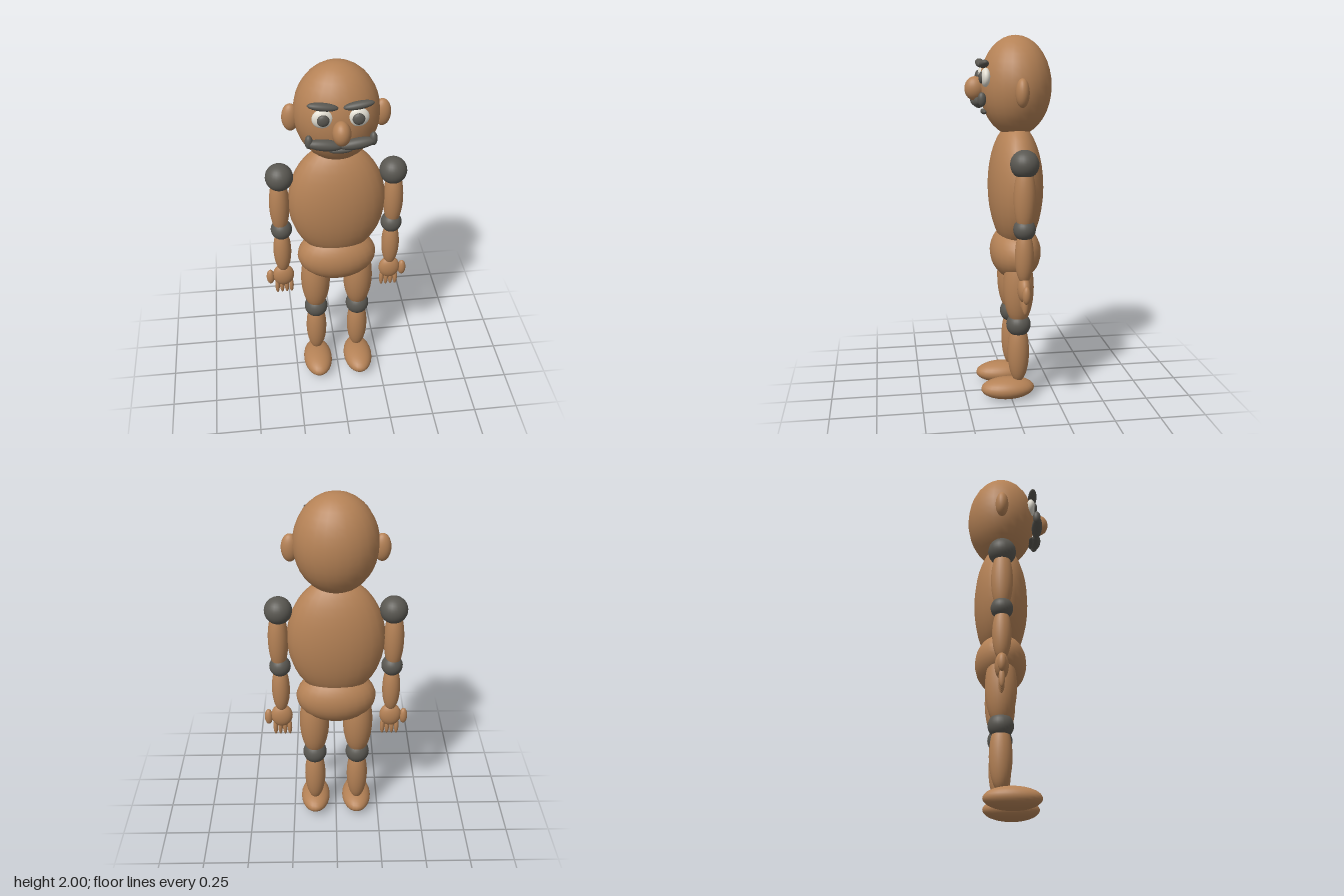
import * as THREE from 'three';

export function createModel() {
  const model = new THREE.Group();
  model.name = 'jointedFigure';

  const skin = new THREE.MeshStandardMaterial({ color: 0xb58256 });
  skin.name = 'tan skin';
  const dark = new THREE.MeshStandardMaterial({ color: 0x5a5852 });
  dark.name = 'dark grey';
  const white = new THREE.MeshStandardMaterial({ color: 0xe2ded2 });
  white.name = 'eye white';

  const ball = new THREE.SphereGeometry(1, 24, 18);
  const Z = -0.04; // depth of the body axis

  // one ellipsoid: centre, radii and a tilt about z
  function blob(name, mat, pos, radii, tilt = 0) {
    const mesh = new THREE.Mesh(ball, mat);
    mesh.name = name;
    mesh.position.set(...pos);
    mesh.scale.set(...radii);
    mesh.rotation.z = tilt;
    model.add(mesh);
  }

  // the same ellipsoid on both sides, given for the left (+x)
  function pair(name, mat, [x, y, z], radii, tilt = 0) {
    const label = name[0].toUpperCase() + name.slice(1);
    blob('left' + label, mat, [x, y, z], radii, tilt);
    blob('right' + label, mat, [-x, y, z], radii, -tilt);
  }

  // trunk and head
  blob('head', skin, [0, 1.733, Z], [0.222, 0.267, 0.193]);
  blob('torso', skin, [0, 1.19, Z], [0.265, 0.35, 0.149]);
  blob('pelvis', skin, [0, 0.825, Z], [0.222, 0.153, 0.14]);

  // face
  pair('ear', skin, [0.235, 1.71, Z], [0.045, 0.075, 0.036]);
  pair('eye', white, [0.088, 1.783, 0.13], [0.054, 0.05, 0.027]);
  pair('pupil', dark, [0.087, 1.783, 0.152], [0.031, 0.031, 0.016]);
  pair('brow', dark, [0.088, 1.852, 0.14], [0.077, 0.02, 0.025], 0.15);
  blob('nose', skin, [0, 1.722, 0.178], [0.047, 0.064, 0.056]);
  pair('moustache', dark, [0.082, 1.655, 0.165], [0.092, 0.029, 0.03], 0.14);
  pair('moustacheTip', dark, [0.16, 1.675, 0.16], [0.02, 0.037, 0.022]);
  blob('mouth', dark, [0, 1.6, 0.132], [0.06, 0.015, 0.016]);

  // arms
  pair('shoulder', dark, [0.306, 1.355, Z], [0.075, 0.075, 0.075]);
  pair('upperArm', skin, [0.312, 1.18, Z], [0.055, 0.185, 0.058]);
  pair('elbow', dark, [0.307, 1.015, Z], [0.059, 0.059, 0.059]);
  pair('forearm', skin, [0.307, 0.87, Z], [0.05, 0.15, 0.05]);
  pair('hand', skin, [0.307, 0.69, Z], [0.061, 0.07, 0.036]);
  pair('thumb', skin, [0.382, 0.68, Z], [0.023, 0.048, 0.022]);
  for (let i = 0; i < 4; i++) {
    pair('finger' + (i + 1), skin, [0.264 + i * 0.027, 0.612, Z], [0.013, 0.05, 0.016]);
  }

  // legs
  pair('thigh', skin, [0.123, 0.65, Z], [0.084, 0.22, 0.084]);
  pair('knee', dark, [0.123, 0.435, Z], [0.068, 0.068, 0.068]);
  pair('shin', skin, [0.123, 0.275, Z], [0.06, 0.18, 0.06]);
  pair('foot', skin, [0.123, 0.062, 0.02], [0.085, 0.06, 0.15]);

  return model;
}
